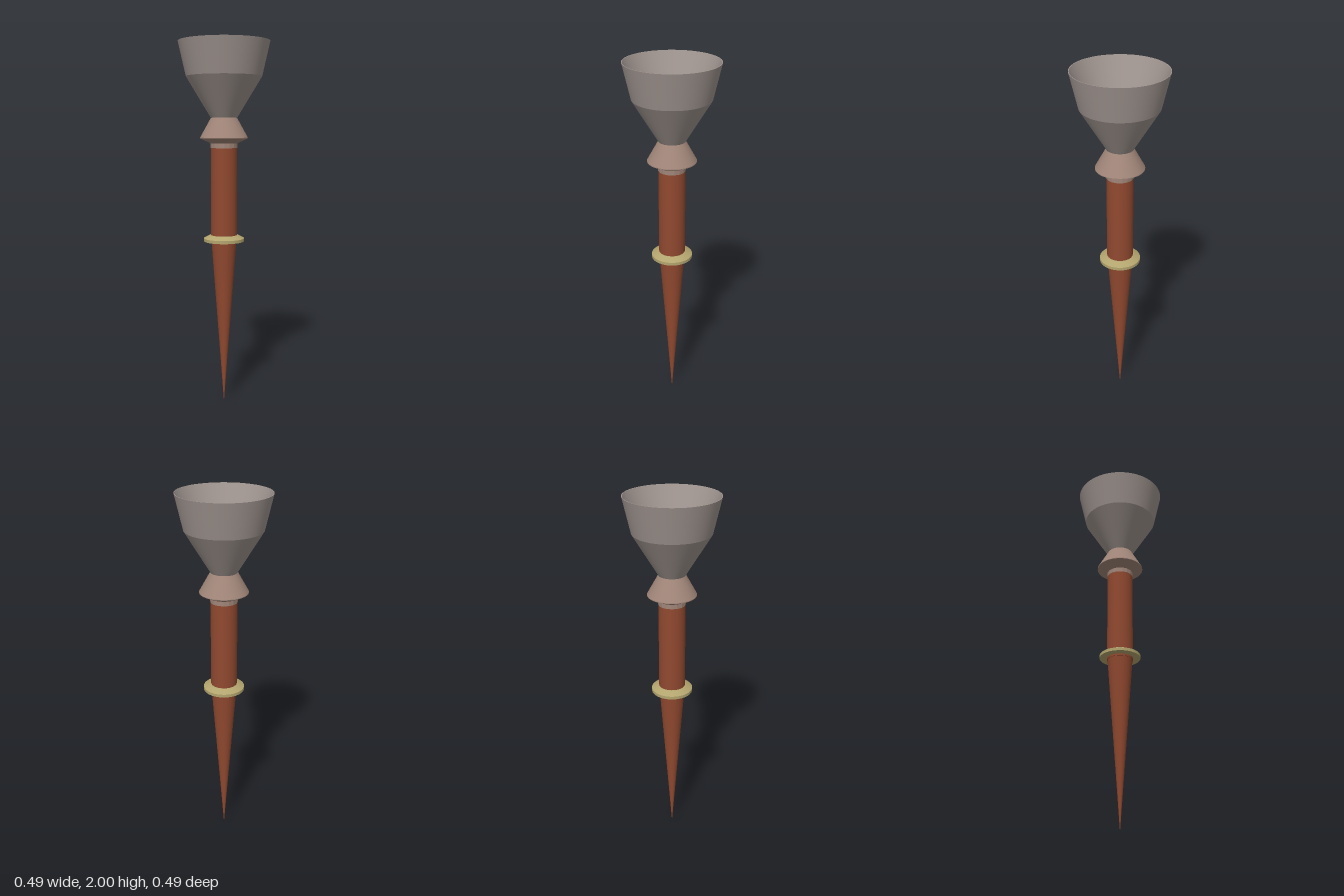
import * as THREE from 'three';

const mat = (name, color) => {
  const m = new THREE.MeshStandardMaterial({ color });
  m.name = name;
  return m;
};

export function createModel() {
  const group = new THREE.Group();
  const bowlGrey = mat('warm grey', 0x9f948f);
  const collarPink = mat('dusty pink', 0xa08578);
  const wood = mat('red brown', 0x91492f);
  const brass = mat('pale brass', 0xb3a56e);

  const add = (name, geometry, material, y = 0) => {
    const mesh = new THREE.Mesh(geometry, material);
    mesh.name = name;
    mesh.position.y = y;
    group.add(mesh);
    return mesh;
  };

  // Turned part: each straight run of the profile is its own lathe, keeping the edges crisp
  const turned = (name, profile, material) => {
    const part = new THREE.Group();
    part.name = name;
    for (let i = 0; i < profile.length - 1; i++) {
      const run = [profile[i], profile[i + 1]].map(([r, y]) => new THREE.Vector2(r, y));
      const mesh = new THREE.Mesh(new THREE.LatheGeometry(run, 64), material);
      mesh.name = name + 'Face' + (i + 1);
      part.add(mesh);
    }
    group.add(part);
  };

  // Handle: long pointed spike and straight shaft
  add('spike', new THREE.CylinderGeometry(0.069, 0.001, 0.915, 48), wood, 0.4575);
  add('shaft', new THREE.CylinderGeometry(0.0715, 0.0715, 0.55, 48), wood, 1.185);

  // Flange around the handle
  turned('flange', [[0, 0.921], [0.112, 0.921], [0.112, 0.938], [0.076, 0.956], [0, 0.956]], brass);

  // Faceted band below the collar
  const band = new THREE.CylinderGeometry(0.0732, 0.0732, 0.028, 16).toNonIndexed();
  band.computeVertexNormals();
  add('band', band, collarPink, 1.448);

  // Flared collar
  turned('collar', [[0, 1.46], [0.075, 1.46], [0.13, 1.486], [0.13, 1.49], [0.07, 1.598], [0, 1.598]], collarPink);

  // Hollow bowl: outside, thin rim, inner cone and flat floor
  turned('bowl', [[0, 1.592], [0.07, 1.594], [0.205, 1.816], [0.247, 2], [0.243, 2], [0.113, 1.7], [0, 1.7]], bowlGrey);

  return group;
}
